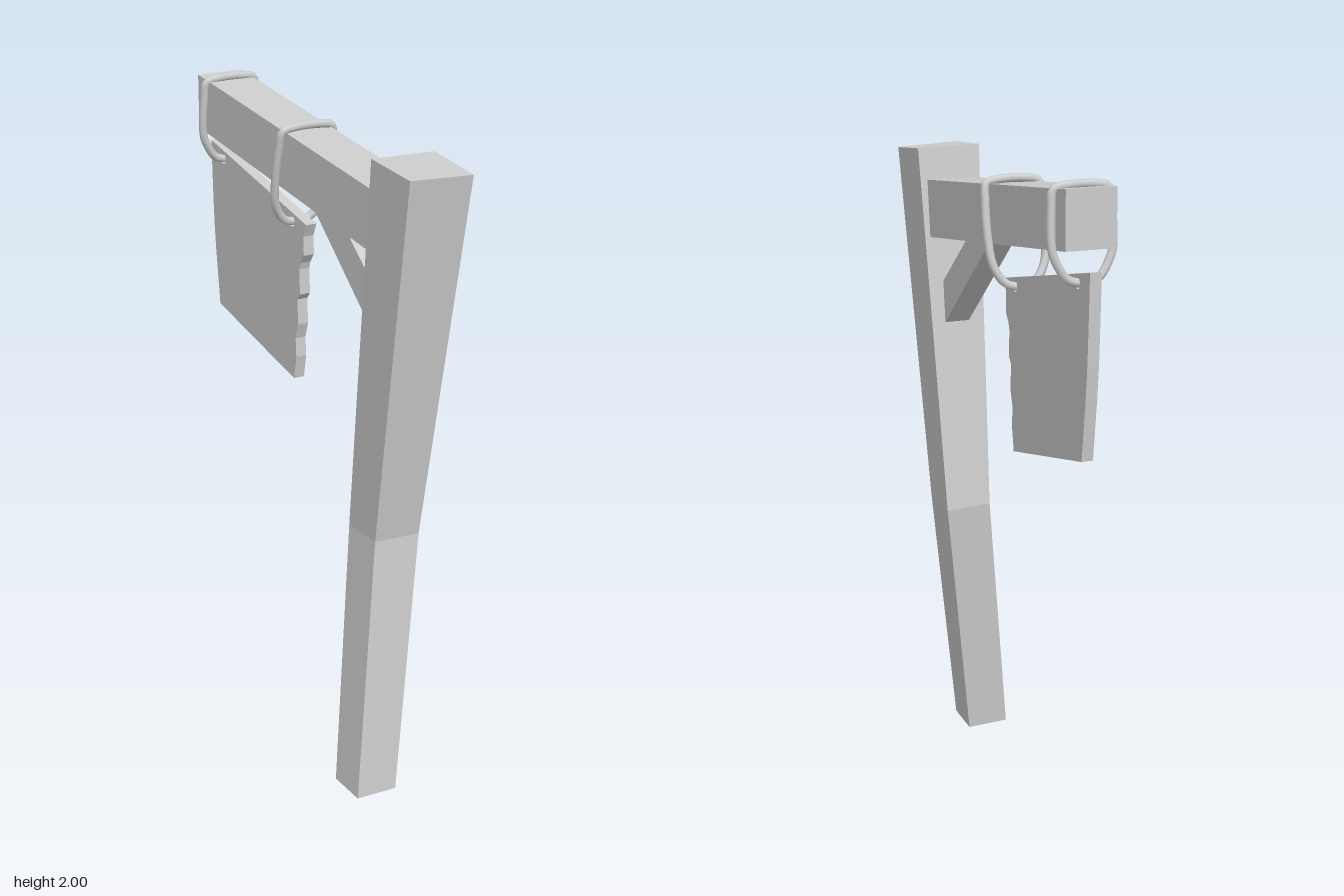
import * as THREE from 'three';

const YAW = 0.205;
const ORIGIN = { x: 0.078, z: 0.43 }; // where the arm leaves the post

// depth along z -> distance along the yawed arm
const along = (z) => (ORIGIN.z - z) / Math.cos(YAW);

function createMesh(name, geometry, smooth = false) {
  const material = new THREE.MeshStandardMaterial({ color: 0xcccccc, flatShading: !smooth });
  const mesh = new THREE.Mesh(geometry, material);
  mesh.name = name;
  return mesh;
}

// Side outline given as [z, y], extruded across the arm and centred on it
function slab(name, outline, width, holes = []) {
  const shape = new THREE.Shape(outline.map(([z, y]) => new THREE.Vector2(along(z), y)));
  for (const [z, y] of holes) {
    shape.holes.push(new THREE.Path().absarc(along(z), y, 0.017, 0, Math.PI * 2, true));
  }
  const geometry = new THREE.ExtrudeGeometry(shape, { depth: width, bevelEnabled: false, curveSegments: 6 });
  geometry.translate(0, 0, -width / 2).rotateY(Math.PI / 2);
  return createMesh(name, geometry);
}

// Four-cornered sections joined from bottom to top
function loft(sections) {
  const positions = sections.flat(2);
  const index = [];
  const quad = (a, b, c, d) => index.push(a, b, c, a, c, d);
  for (let s = 0; s < sections.length - 1; s++) {
    for (let i = 0; i < 4; i++) {
      const j = (i + 1) % 4;
      quad(s * 4 + i, s * 4 + j, s * 4 + 4 + j, s * 4 + 4 + i);
    }
  }
  const t = (sections.length - 1) * 4;
  quad(t, t + 1, t + 2, t + 3);
  quad(3, 2, 1, 0);
  const geometry = new THREE.BufferGeometry();
  geometry.setAttribute('position', new THREE.Float32BufferAttribute(positions, 3));
  geometry.setIndex(index);
  const flat = geometry.toNonIndexed();
  flat.computeVertexNormals();
  return flat;
}

// Closed rope over the arm and down through a hole in the board
function rope(name, topZ, topY, holeZ, holeY) {
  const half = [
    [0.045, 0], [0.083, 0.01], [0.09, 0.06], [0.091, 0.17],
    [0.08, topY - holeY - 0.06], [0.045, topY - holeY - 0.01],
  ];
  const toPoint = ([x, drop], side) => {
    const t = drop / (topY - holeY);
    return new THREE.Vector3(side * x, topY - drop, -along(THREE.MathUtils.lerp(topZ, holeZ, t)));
  };
  const points = [
    ...half.map((p) => toPoint(p, 1)),
    toPoint([0, topY - holeY], 1),
    ...half.slice().reverse().map((p) => toPoint(p, -1)),
  ];
  const curve = new THREE.CatmullRomCurve3(points, true);
  return createMesh(name, new THREE.TubeGeometry(curve, 64, 0.013, 8, true), true);
}

export function createModel() {
  const model = new THREE.Group();
  model.name = 'hangingSignpost';

  // Bent, widening post: corners run front left, front right, back right, back left
  model.add(createMesh('post', loft([
    [[-0.075, 0.012, 0.548], [0.055, 0.008, 0.522], [0.03, 0, 0.393], [-0.1, 0.008, 0.415]],
    [[0.0, 0.825, 0.47], [0.145, 0.82, 0.445], [0.115, 0.81, 0.29], [-0.028, 0.82, 0.32]],
    [[0.02, 1.955, 0.653], [0.217, 1.945, 0.613], [0.18, 1.965, 0.42], [-0.02, 1.97, 0.46]],
  ])));

  // Everything carried by the post shares the arm's direction
  const hanging = new THREE.Group();
  hanging.name = 'armAssembly';
  hanging.position.set(ORIGIN.x, 0, ORIGIN.z);
  hanging.rotation.y = YAW;
  model.add(hanging);

  hanging.add(slab('arm', [[0.44, 1.685], [-0.622, 1.82], [-0.622, 1.988], [0.44, 1.866]], 0.152));
  hanging.add(slab('brace', [[0.42, 1.38], [0.0, 1.74], [0.0, 1.78], [0.11, 1.78], [0.42, 1.525]], 0.08));

  // Sign board of three worn planks
  const holes = [[-0.14, 1.63], [-0.575, 1.722]];
  const planks = [
    [[-0.055, 1.64], [-0.072, 1.6], [-0.07, 1.54], [-0.09, 1.512], [-0.65, 1.615], [-0.655, 1.765]],
    [[-0.09, 1.512], [-0.097, 1.49], [-0.094, 1.41], [-0.11, 1.39], [-0.106, 1.31],
      [-0.637, 1.408], [-0.645, 1.5], [-0.65, 1.615]],
    [[-0.106, 1.31], [-0.122, 1.26], [-0.118, 1.2], [-0.132, 1.125], [-0.615, 1.225], [-0.637, 1.408]],
  ];
  planks.forEach((outline, i) => {
    hanging.add(slab(`signPlank${i + 1}`, outline, 0.035, i === 0 ? holes : []));
  });

  // Two ropes
  hanging.add(rope('innerRope', -0.075, 1.937, ...holes[0]));
  hanging.add(rope('outerRope', -0.553, 1.987, ...holes[1]));

  return model;
}
